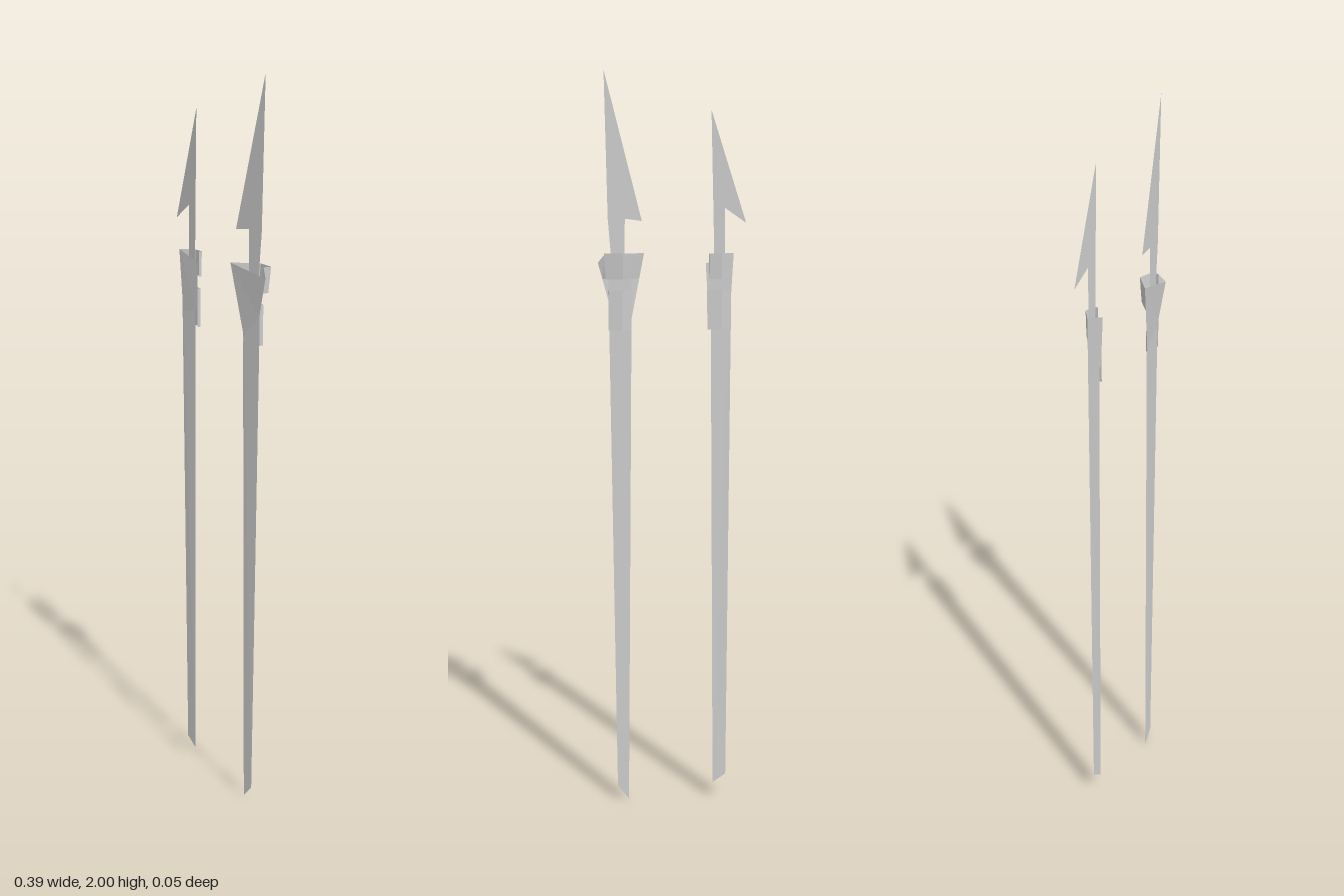
import * as THREE from 'three';

const material = new THREE.MeshStandardMaterial({
  color: 0xcccccc, flatShading: true, side: THREE.DoubleSide,
});

// Thin sheet strung between an upper and a lower edge of equal point count
function sheet(name, upper, lower) {
  const index = [];
  const n = upper.length;
  for (let i = 0; i < n - 1; i++) index.push(i, n + i, n + i + 1, i, n + i + 1, i + 1);
  const geometry = new THREE.BufferGeometry();
  geometry.setAttribute('position', new THREE.Float32BufferAttribute([...upper, ...lower].flat(), 3));
  geometry.setIndex(index);
  geometry.computeVertexNormals();
  const mesh = new THREE.Mesh(geometry, material);
  mesh.name = name;
  return mesh;
}

// Flat barbed blade with a narrow neck, leaning in z towards the barb
function blade(outline, zNeck, zBarb) {
  const geometry = new THREE.ShapeGeometry(new THREE.Shape(outline.map(p => new THREE.Vector2(...p))));
  const [tip, barb] = outline;
  const position = geometry.attributes.position;
  for (let i = 0; i < position.count; i++) {
    const t = (tip[0] - position.getX(i)) / (tip[0] - barb[0]);
    position.setZ(i, zNeck + (zBarb - zNeck) * t);
  }
  geometry.computeVertexNormals();
  const mesh = new THREE.Mesh(geometry, material);
  mesh.name = 'blade';
  return mesh;
}

function spear(name, s) {
  const group = new THREE.Group();
  group.name = name;
  const { collarTop, collarLow, strap, strapLow, lowBand } = s;
  group.add(
    blade(s.blade, s.zNeck, s.zBarb),
    sheet('shaft', s.shaftTop, s.shaftBottom),
    sheet('collarFront', collarTop, collarLow),
    // Open strap running round the back of the collar
    sheet('collarStrap', strap, strap.map((p, i) => [p[0] + strapLow[i][0], strapLow[i][1], p[2] + strapLow[i][2]])),
    // Small band wrapped below the strap
    sheet('lowerBand', lowBand.map(p => [p[0], s.bandTop, p[1]]), lowBand.map(p => [p[0], 1.325, p[1]])),
  );
  return group;
}

export function createModel() {
  const model = new THREE.Group();
  model.name = 'spearPair';
  model.add(
    spear('rightSpear', {
      blade: [[-0.105, 1.897], [-0.198, 1.606], [-0.142, 1.645], [-0.142, 1.48], [-0.115, 1.48]],
      zNeck: 0, zBarb: -0.002,
      shaftTop: [[-0.161, 1.5, 0.009], [-0.105, 1.5, 0.005]],
      shaftBottom: [[-0.153, 0.07, 0.007], [-0.117, 0.045, 0.006]],
      collarTop: [[-0.167, 1.527, 0.013], [-0.092, 1.5, 0.007]],
      collarLow: [[-0.157, 1.36, 0.009], [-0.1, 1.37, 0.006]],
      strap: [[-0.167, 1.527, 0.013], [-0.133, 1.527, -0.016], [-0.1, 1.527, -0.012], [-0.1, 1.527, -0.002]],
      strapLow: [[0.004, 1.46, -0.002], [0, 1.46, 0.002], [0, 1.46, 0.002], [0, 1.46, 0]],
      lowBand: [[-0.157, 0.008], [-0.135, -0.006], [-0.097, -0.004], [-0.097, 0.006]],
      bandTop: 1.43,
    }),
    spear('leftSpear', {
      blade: [[0.175, 1.997], [0.077, 1.611], [0.122, 1.617], [0.124, 1.48], [0.156, 1.48], [0.167, 1.617]],
      zNeck: 0, zBarb: 0.012,
      shaftTop: [[0.104, 1.5, 0.01], [0.167, 1.5, 0.004]],
      shaftBottom: [[0.119, 0, 0.01], [0.15, 0.04, 0.008]],
      collarTop: [[0.071, 1.527, 0.025], [0.194, 1.502, 0.01]],
      collarLow: [[0.108, 1.34, 0.01], [0.166, 1.4, 0.006]],
      strap: [[0.071, 1.527, 0.025], [0.128, 1.527, -0.028], [0.178, 1.527, -0.021], [0.174, 1.527, 0], [0.194, 1.502, 0.01]],
      strapLow: [[0.013, 1.46, -0.005], [0, 1.46, 0.006], [-0.004, 1.46, 0.005], [-0.002, 1.46, 0], [-0.012, 1.46, -0.002]],
      lowBand: [[0.108, 0.01], [0.13, -0.008], [0.167, -0.006], [0.167, 0.006]],
      bandTop: 1.43,
    }),
  );
  return model;
}
